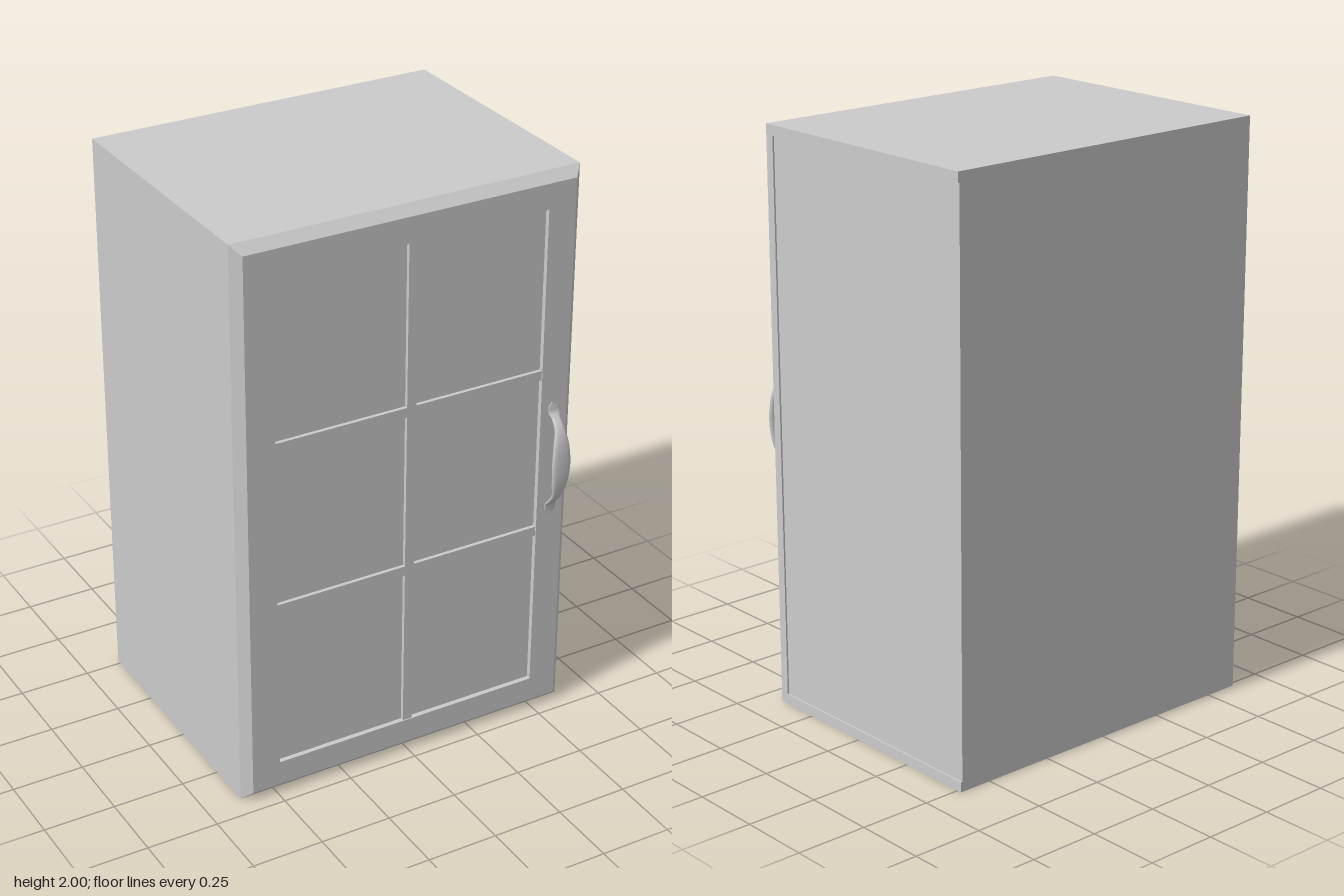
import * as THREE from 'three';

const grey = () => new THREE.MeshStandardMaterial({ color: 0xcccccc });

// Box given by its minimum and maximum on each axis
function box(name, x0, x1, y0, y1, z0, z1) {
  const geo = new THREE.BoxGeometry(x1 - x0, y1 - y0, z1 - z0);
  geo.translate((x0 + x1) / 2, (y0 + y1) / 2, (z0 + z1) / 2);
  const mesh = new THREE.Mesh(geo, grey());
  mesh.name = name;
  return mesh;
}

// Door frame: rectangular loops [halfWidth, halfHeight, z] joined from outside to inside
function frameGeometry(loops) {
  const corners = [[-1, -1], [1, -1], [1, 1], [-1, 1]];
  const point = (l, k) => {
    const [w, h, z] = loops[l], [sx, sy] = corners[k % 4];
    return [sx * w, 1 + sy * h, z];
  };
  const pos = [];
  for (let l = 0; l < loops.length - 1; l++) {
    for (let k = 0; k < 4; k++) {
      const a = point(l, k), b = point(l, k + 1), c = point(l + 1, k + 1), d = point(l + 1, k);
      pos.push(...a, ...b, ...c, ...a, ...c, ...d);
    }
  }
  const geo = new THREE.BufferGeometry();
  geo.setAttribute('position', new THREE.Float32BufferAttribute(pos, 3));
  geo.computeVertexNormals();
  return geo;
}

// Handle: flattened section swept along a bow; stations are [y, z, halfWidth, halfThickness]
function handleGeometry(stations, cx) {
  const sides = 16, steps = 48, pos = [], index = [];
  const path = new THREE.CatmullRomCurve3(stations.map(s => new THREE.Vector3(0, s[0], s[1])));
  const size = new THREE.CatmullRomCurve3(stations.map(s => new THREE.Vector3(s[2], s[3], 0)));
  const squash = v => Math.sign(v) * Math.abs(v) ** 0.75;
  for (let i = 0; i <= steps; i++) {
    const p = path.getPoint(i / steps), t = path.getTangent(i / steps), s = size.getPoint(i / steps);
    for (let k = 0; k < sides; k++) {
      const a = (k / sides) * Math.PI * 2;
      const n = s.y * squash(Math.sin(a));
      pos.push(cx + s.x * squash(Math.cos(a)), p.y - t.z * n, p.z + t.y * n);
      if (i < steps) {
        const k2 = (k + 1) % sides, r = i * sides, q = r + sides;
        index.push(r + k, q + k, q + k2, r + k, q + k2, r + k2);
      }
    }
  }
  const geo = new THREE.BufferGeometry();
  geo.setAttribute('position', new THREE.Float32BufferAttribute(pos, 3));
  geo.setIndex(index);
  geo.computeVertexNormals();
  return geo;
}

export function createModel() {
  const model = new THREE.Group();
  model.name = 'wallCabinet';
  const W = 0.621, back = -0.517, seam = 0.417, front = 0.45, pane = 0.433;

  // Carcass: the left side panel sits slightly inside the surrounding edges
  model.add(
    box('body', -W, W - 0.006, 0.035, 1.965, back, seam - 0.032),
    box('bottomPanel', -W, W, 0, 0.035, back, seam - 0.032),
    box('topPanel', -W, W, 1.965, 2, back, seam - 0.032),
    box('doorBack', -W, W, 0, 2, seam - 0.032, seam)
  );

  // Door with bevelled rim, recessed pane and glazing bars
  const door = new THREE.Group();
  door.name = 'door';
  const frame = new THREE.Mesh(frameGeometry([
    [W, 1, seam], [W - 0.031, 0.968, front], [0.49, 0.88, front], [0.49, 0.88, seam]
  ]), grey());
  frame.name = 'doorFrame';
  door.add(frame, box('pane', -0.49, 0.49, 0.12, 1.88, seam, pane));
  door.add(box('verticalBar', -0.017, 0.017, 0.12, 1.88, pane, front - 0.004));
  for (const y of [0.71, 1.295]) {
    for (const s of [-1, 1]) {
      const ends = [s * 0.017, s * 0.49].sort((a, b) => a - b);
      door.add(box('horizontalBar', ends[0], ends[1], y - 0.017, y + 0.017, pane, front - 0.004));
    }
  }
  model.add(door);

  // Bow handle, mirrored about its middle height
  const half = [
    [-0.21, 0.451, 0.008, 0.002], [-0.195, 0.451, 0.022, 0.003], [-0.172, 0.454, 0.022, 0.004],
    [-0.155, 0.466, 0.016, 0.006], [-0.125, 0.488, 0.018, 0.008], [-0.075, 0.502, 0.029, 0.010]
  ];
  const stations = [
    ...half, [0, 0.507, 0.035, 0.010],
    ...half.slice().reverse().map(([y, ...rest]) => [-y, ...rest])
  ].map(([y, ...rest]) => [y + 0.98, ...rest]);
  const handle = new THREE.Mesh(handleGeometry(stations, 0.54), grey());
  handle.material.side = THREE.DoubleSide;
  handle.name = 'handle';
  model.add(handle);

  return model;
}
